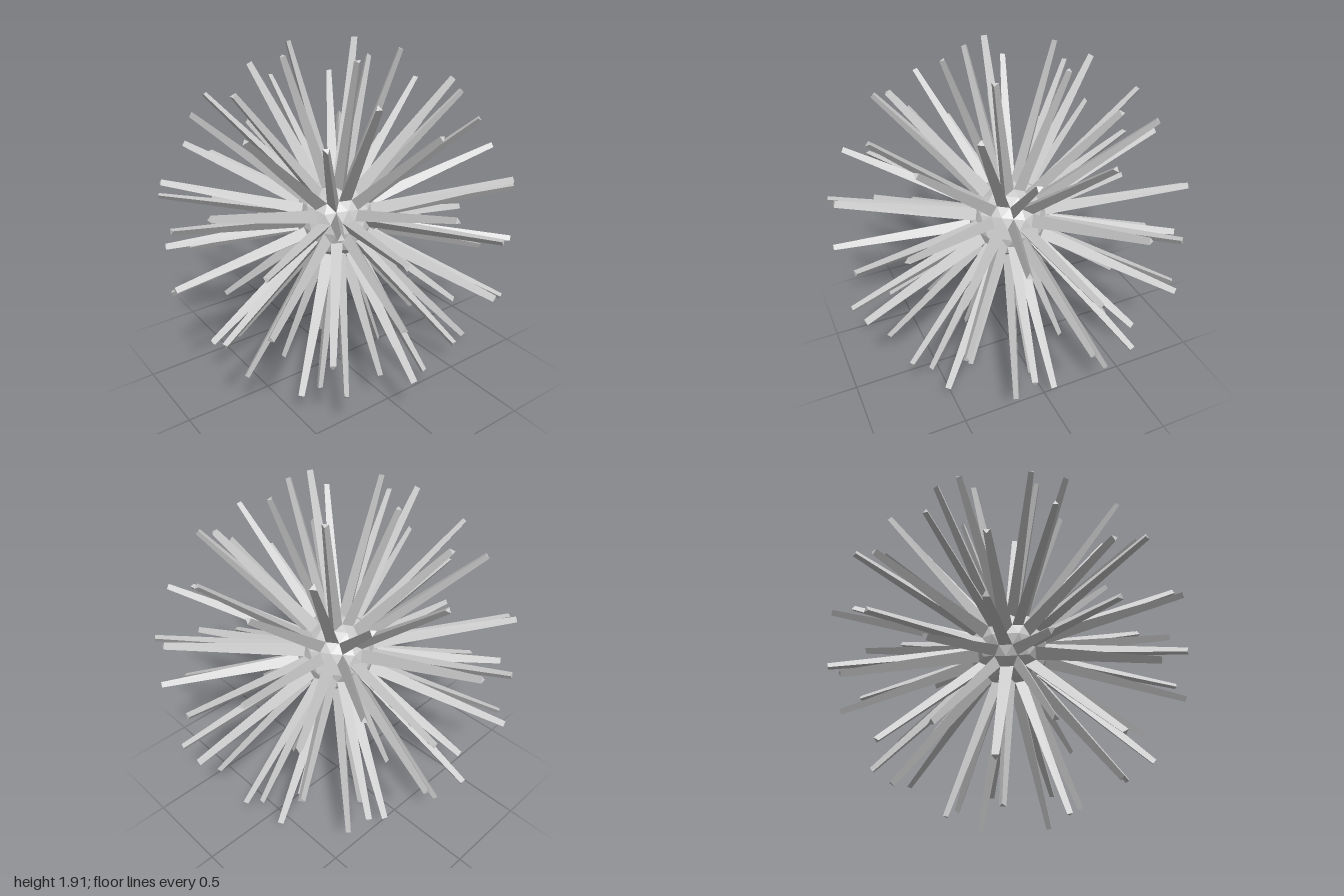
import * as THREE from 'three';

const CORE_RADIUS = 0.235;
const SPIKE_LENGTH = 0.785;
const TIP_SCALE = 0.48;

// Tapered three-sided spike standing on the edge midpoints of one core facet
function spikeGeometry(a, b, c) {
  const normal = new THREE.Triangle(a, b, c).getNormal(new THREE.Vector3());
  const mid = (p, q) => p.clone().add(q).multiplyScalar(0.5);
  const base = [mid(a, b), mid(b, c), mid(c, a)];
  const centre = a.clone().add(b).add(c).divideScalar(3);
  const tip = base.map((p) =>
    p.clone().sub(centre).multiplyScalar(TIP_SCALE).add(centre).addScaledVector(normal, SPIKE_LENGTH));

  const points = [...tip]; // end cap
  for (let i = 0; i < 3; i++) {
    const j = (i + 1) % 3;
    points.push(base[i], base[j], tip[j], base[i], tip[j], tip[i]);
  }
  const geometry = new THREE.BufferGeometry().setFromPoints(points);
  geometry.computeVertexNormals();
  return geometry;
}

export function createModel() {
  const model = new THREE.Group();
  model.name = 'spikyBall';
  const material = new THREE.MeshStandardMaterial({ color: 0xcccccc, flatShading: true });

  // Faceted core with a vertex turned straight up
  const coreGeometry = new THREE.IcosahedronGeometry(CORE_RADIUS, 1);
  coreGeometry.rotateZ(-Math.atan(2 / (1 + Math.sqrt(5))));
  const core = new THREE.Mesh(coreGeometry, material);
  core.name = 'core';
  model.add(core);

  // One spike on every facet
  const spikes = new THREE.Group();
  spikes.name = 'spikes';
  const position = coreGeometry.attributes.position;
  const corner = (i) => new THREE.Vector3().fromBufferAttribute(position, i);
  for (let i = 0; i < position.count; i += 3) {
    const spike = new THREE.Mesh(spikeGeometry(corner(i), corner(i + 1), corner(i + 2)), material);
    spike.name = 'spike';
    spikes.add(spike);
  }
  model.add(spikes);

  // Rest the lowest tips on the ground
  model.position.y = -new THREE.Box3().setFromObject(model).min.y;
  return model;
}
